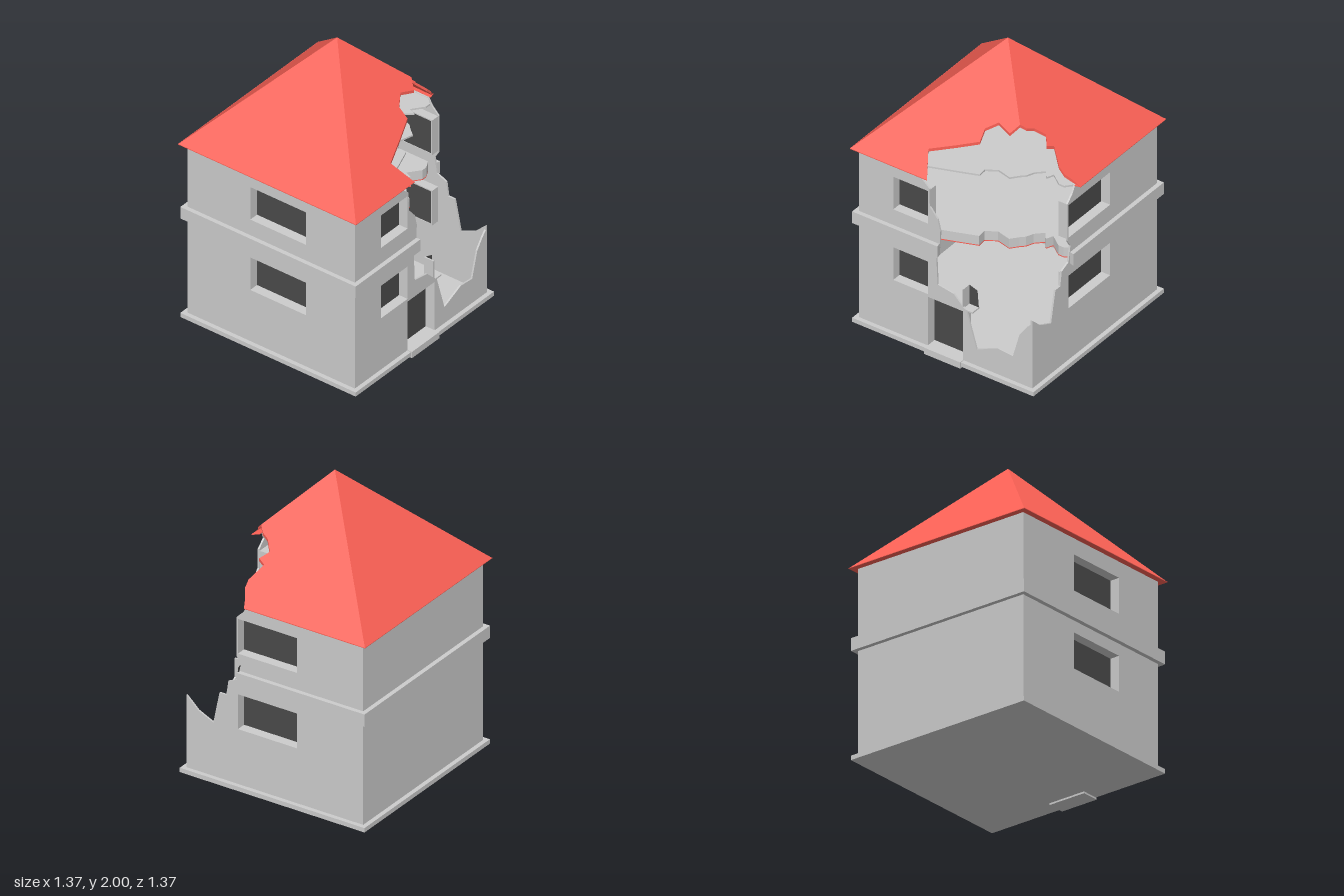
import * as THREE from 'three';

const OUT = 0.645, THICK = 0.012, REVEAL = 0.07, EAVE = 1.29, ROOF = 0.685;
const material = (color) => new THREE.MeshStandardMaterial({ color, flatShading: true, side: THREE.DoubleSide });
const grey = material(0xcccccc), red = material(0xfb6055), dark = material(0x4a4a4a);

const toShape = (pts) => new THREE.Shape(pts.map(([x, y]) => new THREE.Vector2(x, y)));
const rectangle = (a, b, c, d) => [[a, c], [b, c], [b, d], [a, d]];
const extrude = (shape, depth) => new THREE.ExtrudeGeometry(shape, { depth, bevelEnabled: false });

function add(parent, name, geometry, mat, x = 0, y = 0, z = 0) {
  const mesh = new THREE.Mesh(geometry, mat);
  mesh.name = name;
  mesh.position.set(x, y, z);
  parent.add(mesh);
  return mesh;
}

// Horizontal plate from [x, z] points
function plate(pts, depth) {
  return extrude(toShape(pts.map(([x, z]) => [x, -z])), depth).rotateX(-Math.PI / 2);
}

// Recessed opening: a thin frame behind the wall and a dark pane
function addOpening(wall, name, [a, b, c, d]) {
  const e = 0.008;
  const frame = toShape(rectangle(a - e, b + e, c - e, d + e));
  frame.holes.push(toShape(rectangle(a, b, c, d)));
  add(wall, name + 'Reveal', extrude(frame, REVEAL - 0.002), grey, 0, 0, OUT - REVEAL);
  add(wall, name + 'Pane', new THREE.PlaneGeometry(b - a, d - c), dark, (a + b) / 2, (c + d) / 2, OUT - REVEAL + 0.004);
}

// Wall drawn as seen from outside, then turned to its side of the house
function addWall(parent, name, angle, outline, openings) {
  const wall = new THREE.Group();
  wall.name = name;
  wall.rotation.y = angle;
  const shape = toShape(outline);
  for (const [label, o] of openings) {
    shape.holes.push(toShape(rectangle(...o)));
    addOpening(wall, label, o);
  }
  add(wall, name + 'Shell', extrude(shape, THICK), grey, 0, 0, OUT - THICK);
  parent.add(wall);
  return wall;
}

// Roof slope: plan polygon raised onto the pyramid
function slope(pts) {
  const t = 0.02, g = plate(pts, t), p = g.attributes.position;
  for (let i = 0; i < p.count; i++) {
    const r = Math.max(Math.abs(p.getX(i)), Math.abs(p.getZ(i)));
    const y = 2 - ((2 - EAVE) / ROOF) * r + p.getY(i) - t;
    p.setY(i, Math.max(EAVE, y));
  }
  g.computeVertexNormals();
  return g;
}

export function createModel() {
  const house = new THREE.Group();
  house.name = 'ruinedHouse';

  // Foundation and door step
  add(house, 'foundation', new THREE.BoxGeometry(1.35, 0.03, 1.35), grey, 0, 0.027, 0);
  add(house, 'doorStep', new THREE.BoxGeometry(0.12, 0.046, 0.27), grey, 0.622, 0.023, 0);

  // Walls; the back right corner is broken away
  const y0 = 0.03, low = [0.42, 0.66], high = [0.94, 1.18];
  const full = rectangle(-OUT, OUT, y0, EAVE);
  addWall(house, 'frontWall', 0, full, [
    ['lowerWindow', [-0.16, 0.27, ...low]], ['upperWindow', [-0.16, 0.27, ...high]]]);
  addWall(house, 'leftWall', -Math.PI / 2, full, []);
  const right = addWall(house, 'rightWall', Math.PI / 2, [
    [-OUT, y0], [OUT, y0], [OUT, 0.52], [0.6, 0.47], [0.55, 0.4], [0.5, 0.22], [0.39, 0.23],
    [0.23, 0.16], [0.155, 0.41], [0.12, 0.44], [0.06, 0.5], [-0.06, 0.52], [-0.07, 0.73],
    [-0.045, 0.8], [-0.04, 0.92], [-0.06, 1], [-0.118, 1.07], [-0.12, 1.2], [-0.175, 1.25],
    [-0.16, EAVE], [-OUT, EAVE],
  ], [
    ['lowerWindow', [-0.39, -0.13, ...low]], ['upperWindow', [-0.39, -0.13, ...high]],
    ['door', [-0.13, 0.13, 0.045, 0.4]]]);
  addWall(house, 'backWall', Math.PI, [
    [-OUT, y0], [OUT, y0], [OUT, EAVE], [-0.2, EAVE], [-0.23, 1.24], [-0.28, 1.19], [-0.28, 0.92],
    [-0.25, 0.87], [-0.27, 0.76], [-0.34, 0.73], [-0.355, 0.63], [-0.405, 0.63], [-0.45, 0.41],
    [-0.56, 0.46], [-OUT, 0.54],
  ], [
    ['lowerWindow', [-0.27, 0.16, ...low]], ['upperWindow', [-0.27, 0.16, ...high]]]);

  // Remnant of the shattered window beside the door
  add(right, 'brokenPane', new THREE.ShapeGeometry(toShape(
    [[0.13, 0.42], [0.2, 0.42], [0.19, 0.54], [0.13, 0.56]])), dark, 0, 0, OUT - REVEAL + 0.004);
  add(right, 'brokenReveal', new THREE.BoxGeometry(0.01, 0.14, REVEAL), grey, 0.125, 0.49, OUT - REVEAL / 2);
  add(right, 'brokenSill', new THREE.BoxGeometry(0.08, 0.01, REVEAL), grey, 0.16, 0.415, OUT - REVEAL / 2);

  // Belt course between the storeys, stopping at the breaks
  const B = 0.675, I = OUT - THICK;
  add(house, 'beltCourse', plate([
    [0.26, -B], [-B, -B], [-B, B], [B, B], [B, 0.04], [I, 0.05],
    [I, I], [-I, I], [-I, -I], [0.25, -I]], 0.085), grey, 0, 0.74, 0);

  // Ragged edge in plan, shared by the roof, ceiling and floor
  const backEdge = [[0.22, -0.64], [0.25, -0.6], [0.25, -0.56], [0.19, -0.48], [0.24, -0.46],
    [0.19, -0.42], [0.24, -0.37], [0.29, -0.35], [0.32, -0.32]];
  const rightEdge = [[0.37, -0.28], [0.345, -0.18], [0.39, -0.11], [0.45, -0.115], [0.5, 0.02], [0.56, 0.19]];
  const brokenPlate = (s) => [[-I, -I], [0.2, -I],
    ...[...backEdge.slice(1), ...rightEdge].map(([x, z]) => [x - s, z + s]),
    [I, 0.17], [I, I], [-I, I]];
  add(house, 'ceiling', plate(brokenPlate(0.005), 0.012), grey, 0, EAVE - 0.014, 0);
  add(house, 'upperFloor', plate(brokenPlate(0.02), 0.066), grey, 0, 0.754, 0);
  add(house, 'floorUnderside', plate(brokenPlate(0.02), 0.006), red, 0, 0.747, 0);

  // Pyramid roof
  const R = ROOF;
  const roof = new THREE.Group();
  roof.name = 'roof';
  house.add(roof);
  add(roof, 'frontSlope', slope([[0, 0], [-R, R], [R, R]]), red);
  add(roof, 'leftSlope', slope([[0, 0], [-R, -R], [-R, R]]), red);
  add(roof, 'backSlope', slope([[0, 0], [-R, -R], [0.2, -R], ...backEdge]), red);
  add(roof, 'rightSlope', slope([[0, 0], [0.32, -0.32], ...rightEdge, [R, 0.11], [R, R]]), red);
  add(roof, 'eaveUnderside', plate([
    [0.2, -R], [-R, -R], [-R, R], [R, R], [R, 0.11], [OUT, 0.14],
    [OUT, OUT], [-OUT, OUT], [-OUT, -OUT], [0.21, -OUT]], 0.004), red, 0, EAVE - 0.002, 0);

  return house;
}
